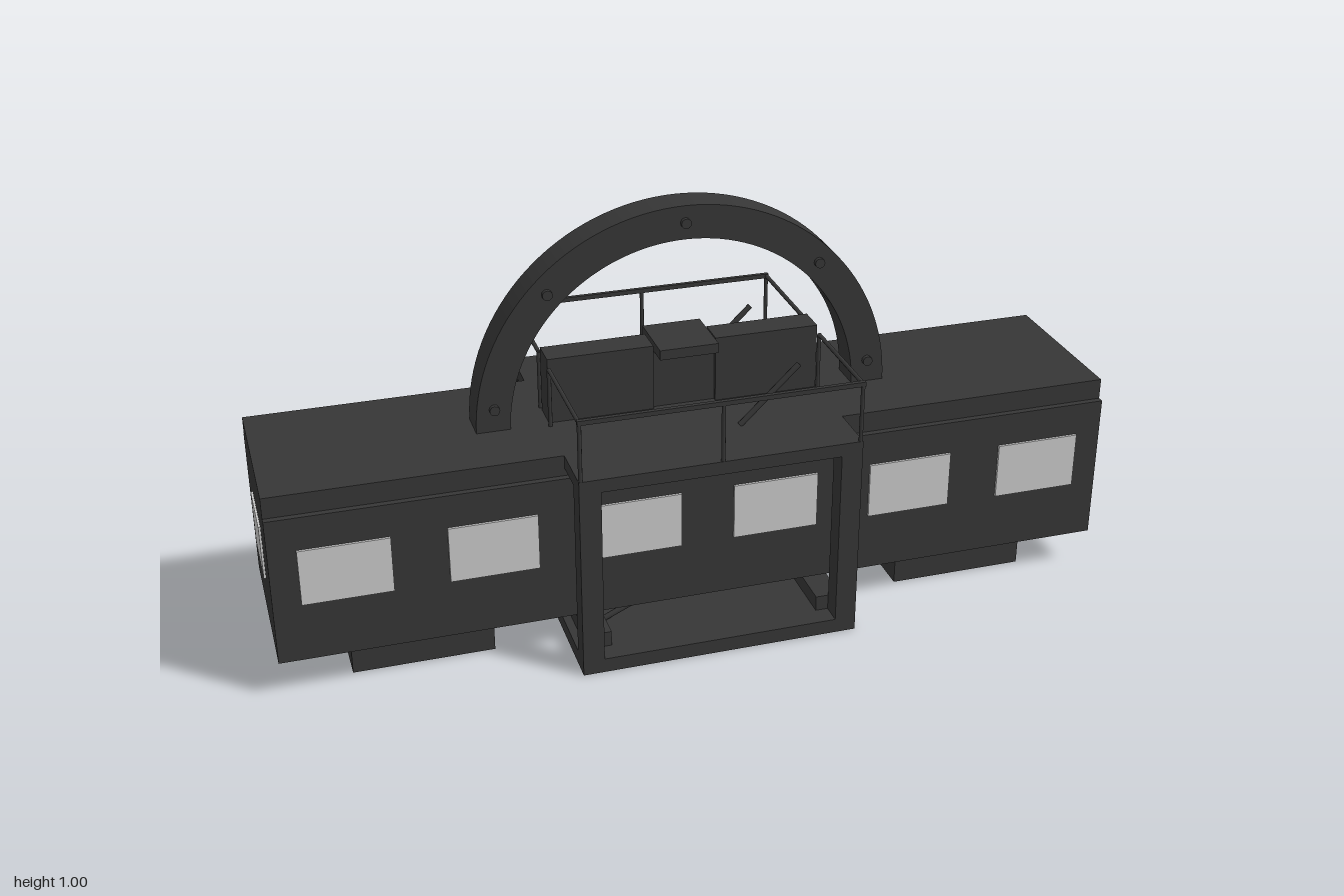
import * as THREE from 'three';

export function createModel() {
  const model = new THREE.Group();
  const hull = new THREE.MeshStandardMaterial({ color: 0x363636 });
  hull.name = 'charcoal';
  const glass = new THREE.MeshStandardMaterial({ color: 0xcacaca });
  glass.name = 'pale glass';

  const add = (name, geometry, material = hull) => {
    const mesh = new THREE.Mesh(geometry, material);
    mesh.name = name;
    model.add(mesh);
    return mesh;
  };
  // Box given by its extents on each axis
  const box = (name, x0, x1, y0, y1, z0, z1, material) => {
    const mesh = add(name, new THREE.BoxGeometry(x1 - x0, y1 - y0, z1 - z0), material);
    mesh.position.set((x0 + x1) / 2, (y0 + y1) / 2, (z0 + z1) / 2);
    return mesh;
  };
  // Round rod between two points
  const rod = (name, a, b, r) => {
    const from = new THREE.Vector3(...a), to = new THREE.Vector3(...b);
    const mesh = add(name, new THREE.CylinderGeometry(r, r, from.distanceTo(to), 8));
    mesh.position.copy(from).add(to).multiplyScalar(0.5);
    mesh.quaternion.setFromUnitVectors(new THREE.Vector3(0, 1, 0), to.sub(from).normalize());
    return mesh;
  };

  // Long cabin with a slightly narrower roof
  box('cabinBody', -0.995, 0.995, 0.09, 0.45, -0.215, 0.215);
  box('cabinRoof', -0.995, 0.995, 0.45, 0.5, -0.2, 0.2);

  // Windows along both sides and at both ends
  for (const s of [-1, 1]) {
    for (const x of [-0.83, -0.5, -0.165, 0.165, 0.5, 0.83]) {
      const pane = box('sideWindow', x - 0.102, x + 0.102, 0.234, 0.37, -0.004, 0.004, glass);
      pane.position.z = s * 0.217;
    }
    const pane = box('endWindow', -0.004, 0.004, 0.234, 0.366, -0.084, 0.084, glass);
    pane.position.x = s * 0.996;
    // Foot block under each end of the cabin
    const foot = box('footBlock', -0.165, 0.165, 0, 0.09, -0.165, 0.165);
    foot.position.x = s * 0.665;
  }

  // Open square frame around the middle
  box('frameFloor', -0.33, 0.33, 0, 0.035, -0.33, 0.33);
  box('frameDeck', -0.33, 0.33, 0.468, 0.5, -0.33, 0.33);
  for (const sx of [-1, 1]) {
    for (const sz of [-1, 1]) {
      const post = box('framePost', -0.025, 0.025, 0.035, 0.468, -0.025, 0.025);
      post.position.x = sx * 0.305;
      post.position.z = sz * 0.305;
    }
    const sill = box('frameSill', -0.03, 0.03, 0.035, 0.072, -0.28, 0.28);
    sill.position.x = sx * 0.28;
  }

  // Half-ring arch above the deck
  const ring = new THREE.Shape();
  ring.absarc(0, 0, 0.495, 0, Math.PI, false);
  ring.absarc(0, 0, 0.415, Math.PI, 0, true);
  ring.closePath();
  const archGeometry = new THREE.ExtrudeGeometry(ring, { depth: 0.08, bevelEnabled: false, curveSegments: 32 });
  archGeometry.translate(0, 0.5, -0.04);
  add('arch', archGeometry);

  // Studs on the front of the arch
  for (const degrees of [7, 45, 90, 135, 173]) {
    const a = THREE.MathUtils.degToRad(degrees);
    const stud = add('archStud', new THREE.CylinderGeometry(0.012, 0.012, 0.012, 12));
    stud.rotation.x = Math.PI / 2;
    stud.position.set(Math.cos(a) * 0.455, 0.5 + Math.sin(a) * 0.455, 0.044);
  }

  // Machinery housing under the arch
  for (const s of [-1, 1]) {
    const panel = box('housingPanel', -0.125, 0.125, 0.5, 0.66, -0.035, 0.035);
    panel.position.x = s * 0.2;
  }
  box('housingCore', -0.075, 0.075, 0.5, 0.64, -0.025, 0.025);
  box('housingCap', -0.07, 0.07, 0.64, 0.664, -0.073, 0.073);

  // Guard rails around the deck, open at the arch
  const e = 0.325, top = 0.642;
  for (const s of [-1, 1]) {
    box('longRail', -0.33, 0.33, 0.637, 0.648, s * e - 0.005, s * e + 0.005);
    for (const x of [-e, 0, e]) rod('railPost', [x, 0.5, s * e], [x, top, s * e], 0.005);
    for (const x of [-e, e]) {
      rod('sideRail', [x, top, s * 0.05], [x, top, s * e], 0.005);
      rod('railPost', [x, 0.5, s * 0.05], [x, top, s * 0.05], 0.005);
    }
    // Slanted levers on the deck and small braces on the floor
    rod('lever', [0.09, 0.5, s * 0.172], [0.23, 0.635, s * 0.172], 0.007);
    rod('floorBrace', [-0.25, 0.035, s * 0.172], [-0.13, 0.09, s * 0.172], 0.007);
  }

  return model;
}
